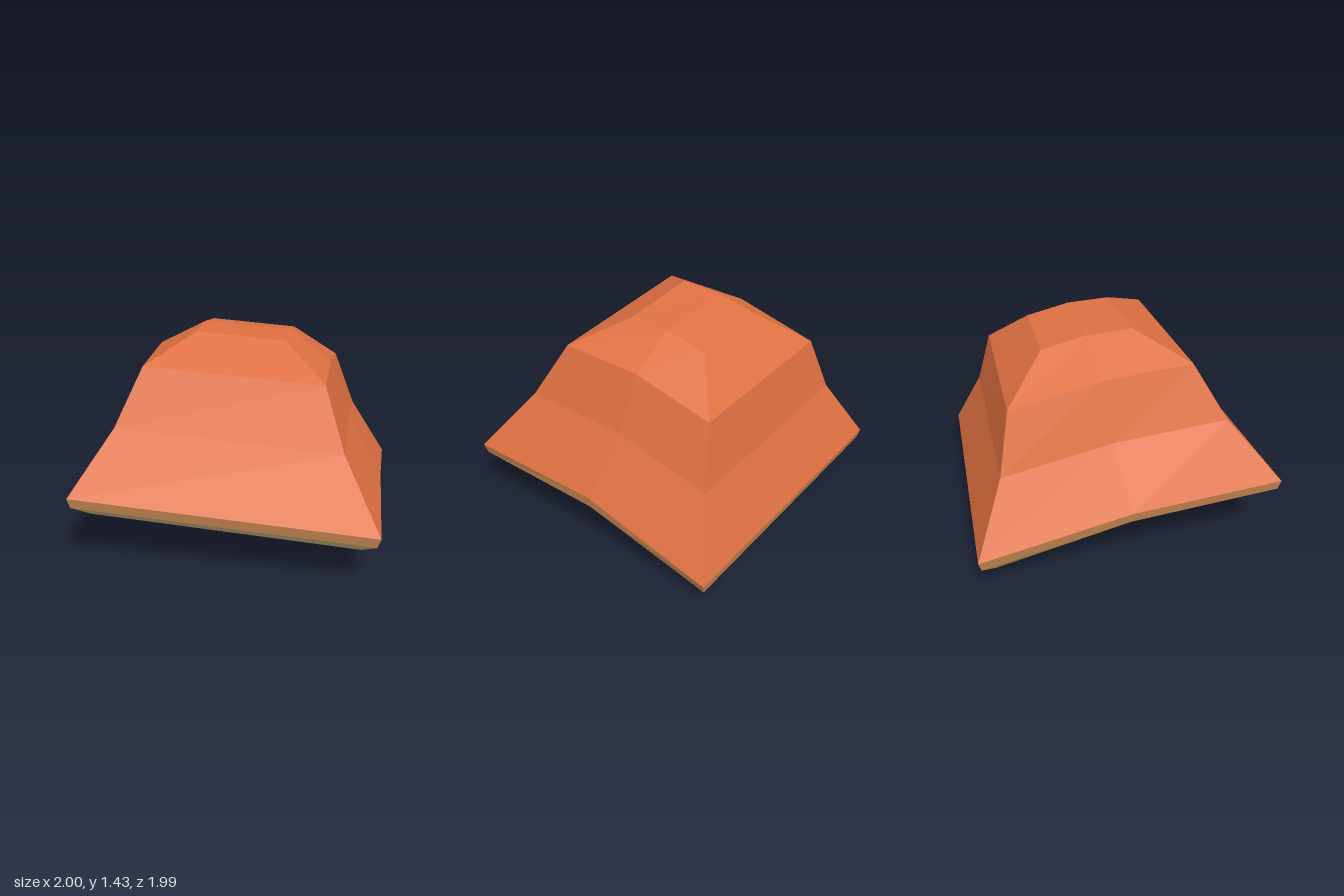
import * as THREE from 'three';

const roofMat = new THREE.MeshStandardMaterial({ color: 0xe07142 });
roofMat.name = 'terracotta';
const bandMat = new THREE.MeshStandardMaterial({ color: 0xc88752 });
bandMat.name = 'tan';
const baseMat = new THREE.MeshStandardMaterial({ color: 0xc8b282 });
baseMat.name = 'khaki';

// Each ring runs +x front, middle, back, then -x back, middle, front
const bottomRing = [[0.88, 0.28, 0.85], [0.87, 0.24, 0], [0.88, 0.0, -0.82],
  [-0.85, 0.11, -0.88], [-0.88, 0.35, -0.01], [-0.855, 0.4, 0.88]];
const bevelRing = [[0.98, 0.36, 0.945], [0.975, 0.32, 0], [0.975, 0.085, -0.915],
  [-0.95, 0.195, -0.98], [-0.985, 0.43, -0.02], [-0.95, 0.485, 0.975]];
const eaveRing = [[1, 0.43, 0.96], [0.985, 0.395, 0], [1, 0.155, -0.93],
  [-0.965, 0.265, -1], [-1, 0.5, -0.02], [-0.965, 0.555, 0.99]];
const waistRing = [[0.745, 0.835, 0.66], [0.74, 0.8, -0.08], [0.745, 0.63, -0.755],
  [-0.715, 0.71, -0.8], [-0.735, 0.87, -0.08], [-0.725, 0.925, 0.68]];
const shoulderRing = [[0.6, 1.21, 0.46], [0.595, 1.185, -0.12], [0.6, 1.045, -0.675],
  [-0.575, 1.105, -0.715], [-0.6, 1.25, -0.12], [-0.575, 1.28, 0.48]];
const crownRing = [[0.305, 1.39, 0.145], [0.305, 1.38, -0.14], [0.305, 1.315, -0.43],
  [-0.285, 1.345, -0.445], [-0.285, 1.415, -0.14], [-0.285, 1.43, 0.155]];

// Two quads that close a ring, split along its middle
const capFaces = [[0, 1, 4, 5], [1, 2, 3, 4]];

function shell(name, rings, material, { top = false, bottom = false } = {}) {
  const positions = [];
  const quad = (a, b, c, d) => positions.push(...a, ...b, ...c, ...a, ...c, ...d);
  for (let r = 0; r < rings.length - 1; r++) {
    const low = rings[r], high = rings[r + 1];
    for (let i = 0; i < low.length; i++) {
      const j = (i + 1) % low.length;
      quad(low[i], low[j], high[j], high[i]);
    }
  }
  for (const face of capFaces) {
    if (top) quad(...face.map(i => rings[rings.length - 1][i]));
    if (bottom) quad(...[...face].reverse().map(i => rings[0][i]));
  }
  const geometry = new THREE.BufferGeometry();
  geometry.setAttribute('position', new THREE.Float32BufferAttribute(positions, 3));
  geometry.computeVertexNormals(); // unshared corners keep every facet flat
  const mesh = new THREE.Mesh(geometry, material);
  mesh.name = name;
  return mesh;
}

export function createModel() {
  const group = new THREE.Group();
  group.name = 'bentRoof';
  group.add(
    shell('underside', [bottomRing, bevelRing], baseMat, { bottom: true }),
    shell('eaveBand', [bevelRing, eaveRing], bandMat),
    shell('roof', [eaveRing, waistRing, shoulderRing, crownRing], roofMat, { top: true }),
  );
  return group;
}
